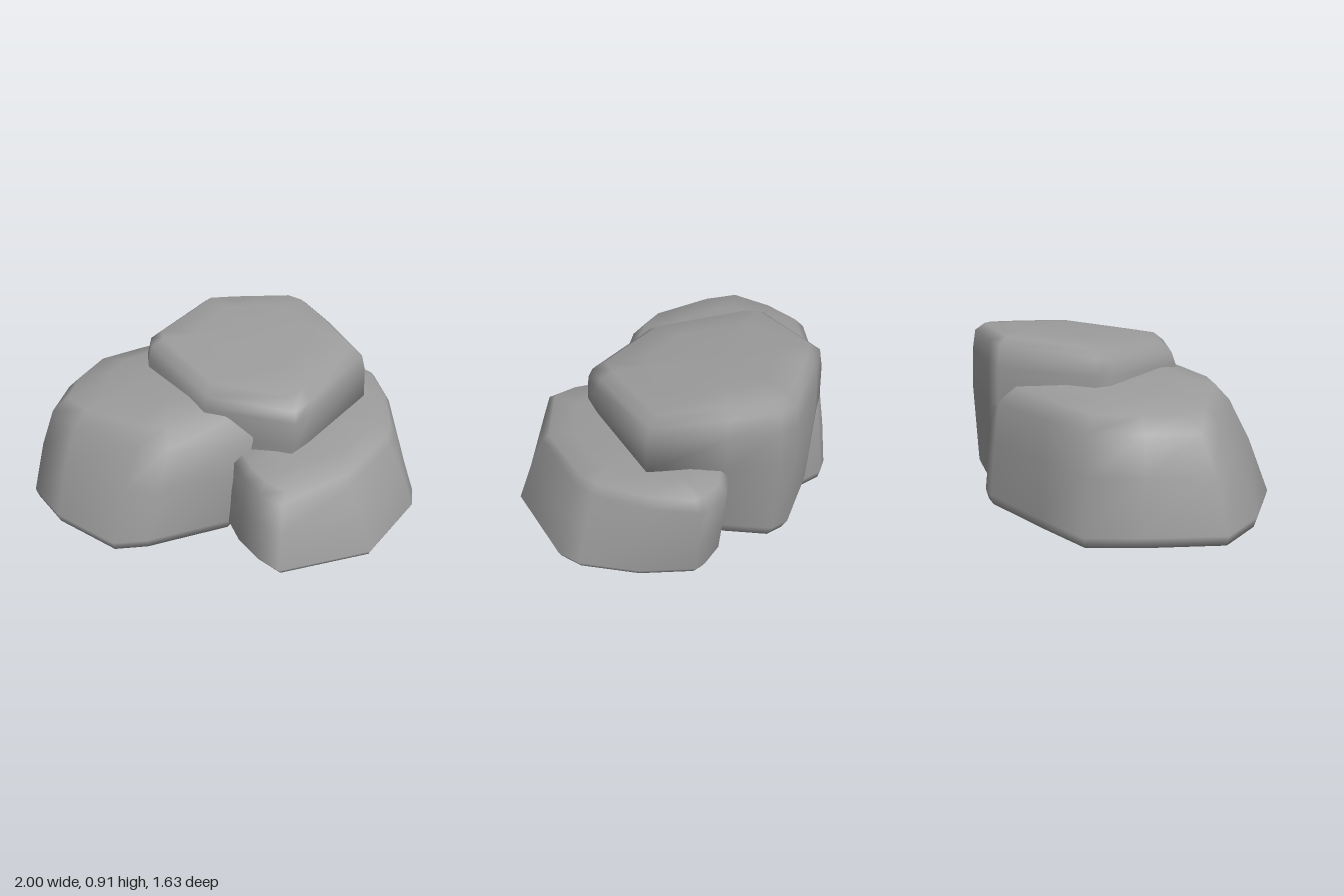
import * as THREE from 'three';

const material = new THREE.MeshStandardMaterial({ color: 0x9c9c9c });

// Closed boulder lofted between a base outline and a matching top outline [x, z].
// Each level is [y, blend from base to top, scale about the outline centre, tilt amount].
function boulder(name, base, top, levels, slope) {
  const n = base.length, pos = [], idx = [];
  const mean = (o, k) => o.reduce((s, p) => s + p[k], 0) / n;
  const cBase = [mean(base, 0), mean(base, 1)], cTop = [mean(top, 0), mean(top, 1)];
  for (const [y, t, s, tilt] of levels) {
    const cx = THREE.MathUtils.lerp(cBase[0], cTop[0], t);
    const cz = THREE.MathUtils.lerp(cBase[1], cTop[1], t);
    for (let i = 0; i < n; i++) {
      const x = cx + (THREE.MathUtils.lerp(base[i][0], top[i][0], t) - cx) * s;
      const z = cz + (THREE.MathUtils.lerp(base[i][1], top[i][1], t) - cz) * s;
      pos.push(x, y + tilt * (slope[0] * (x - cx) + slope[1] * (z - cz)), z);
    }
  }
  // Side walls
  for (let l = 0; l < levels.length - 1; l++) {
    for (let i = 0; i < n; i++) {
      const a = l * n + i, b = l * n + (i + 1) % n;
      idx.push(a, b, b + n, a, b + n, a + n);
    }
  }
  // Underside and top caps
  const last = (levels.length - 1) * n, low = levels.length * n, high = low + 1;
  pos.push(cBase[0], levels[0][0], cBase[1], cTop[0], levels.at(-1)[0], cTop[1]);
  for (let i = 0; i < n; i++) {
    const j = (i + 1) % n;
    idx.push(low, j, i, high, last + i, last + j);
  }
  const geometry = new THREE.BufferGeometry();
  geometry.setAttribute('position', new THREE.Float32BufferAttribute(pos, 3));
  geometry.setIndex(idx);
  geometry.computeVertexNormals();
  const mesh = new THREE.Mesh(geometry, material);
  mesh.name = name;
  return mesh;
}

export function createModel() {
  const group = new THREE.Group();
  group.name = 'rockCluster';

  // Broad boulder at the front, flaring towards the ground, its underside dipping inwards
  group.add(boulder('frontBoulder',
    [[-1, 0], [-0.96, 0.27], [-0.87, 0.64], [-0.62, 0.76], [-0.23, 0.81], [-0.09, 0.71],
      [0.2, 0.37], [0.22, 0], [0.05, -0.4], [-0.33, -0.62], [-0.44, -0.63], [-0.52, -0.58], [-0.8, -0.25]],
    [[-0.89, 0], [-0.88, 0.25], [-0.8, 0.5], [-0.6, 0.57], [-0.2, 0.6], [-0.05, 0.54],
      [0.28, 0.25], [0.27, 0], [0.05, -0.35], [-0.3, -0.58], [-0.4, -0.58], [-0.48, -0.53], [-0.73, -0.23]],
    [[0.018, 0, 0.7, -0.6], [0.06, 0, 0.98, 0], [0.11, 0, 1, 0], [0.38, 0.5, 1, 0],
      [0.58, 1, 1, 0.4], [0.665, 1, 0.87, 0.9], [0.7, 1, 0.55, 1]],
    [0.07, -0.03]));

  // Tall boulder at the back, narrow at the foot and rounded at the crown
  group.add(boulder('tallBoulder',
    [[-0.5, -0.03], [-0.44, 0.04], [0.02, 0.28], [0.28, 0.2], [0.32, 0.08], [0.36, -0.4],
      [0.26, -0.62], [0.08, -0.8], [-0.02, -0.81], [-0.33, -0.63], [-0.46, -0.53]],
    [[-0.54, -0.03], [-0.49, 0.04], [0.02, 0.31], [0.49, 0.21], [0.52, 0.09], [0.6, -0.44],
      [0.3, -0.67], [0.08, -0.81], [-0.02, -0.82], [-0.34, -0.63], [-0.47, -0.54]],
    [[0.02, 0, 0.75, 0], [0.05, 0, 0.9, 0], [0.13, 0, 0.98, 0], [0.57, 1, 1, 0],
      [0.74, 1, 0.985, 0.5], [0.825, 1, 0.95, 1], [0.868, 1, 0.85, 1], [0.885, 1, 0.55, 1]],
    [-0.045, -0.09]));

  // Low boulder at the side
  group.add(boulder('lowBoulder',
    [[0.1, 0.28], [0.32, 0.48], [0.45, 0.55], [0.6, 0.59], [0.94, 0.24], [1, -0.23], [0.96, -0.35],
      [0.76, -0.58], [0.54, -0.74], [0.48, -0.74], [0.36, -0.7], [0.25, -0.6], [0.1, -0.3]],
    [[0.12, 0.26], [0.32, 0.42], [0.43, 0.48], [0.56, 0.5], [0.79, 0.2], [0.85, -0.2], [0.83, -0.32],
      [0.7, -0.58], [0.54, -0.77], [0.49, -0.78], [0.37, -0.76], [0.25, -0.64], [0.1, -0.3]],
    [[0.07, 0, 0.8, 0], [0.08, 0, 0.97, 0], [0.11, 0, 1, 0], [0.3, 0.5, 1, 0],
      [0.48, 1, 1, 0.9], [0.525, 1, 0.92, 1], [0.555, 1, 0.65, 1]],
    [-0.05, -0.06]));

  return group;
}
